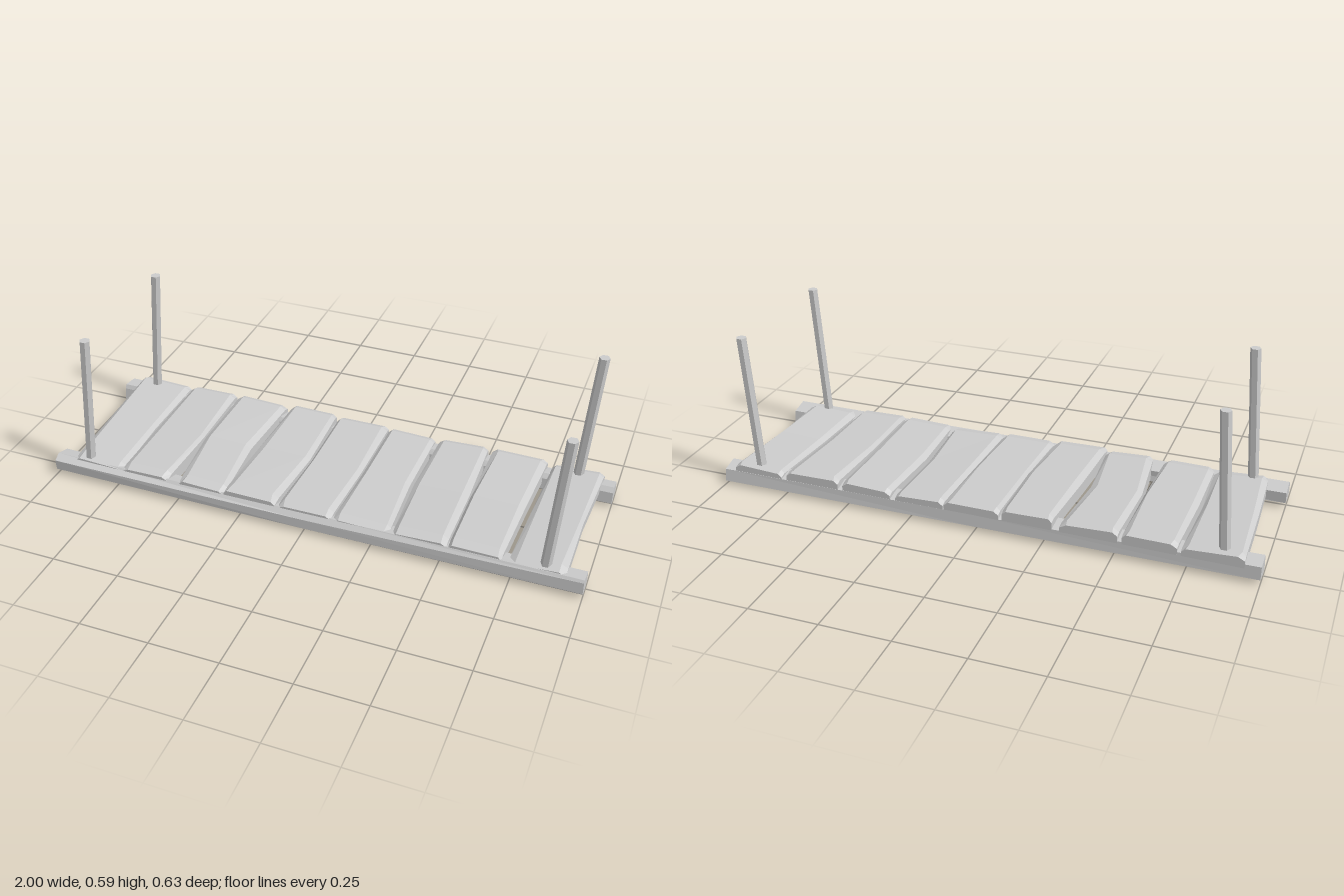
import * as THREE from 'three';

const wood = new THREE.MeshStandardMaterial({ color: 0xcccccc });
wood.name = 'plain grey wood';
wood.flatShading = true;

// Skins closed rings of [x, y, z] corners, counter-clockwise seen from the last ring's end
function loft(name, rings) {
  const pos = [];
  const tri = (a, b, c) => pos.push(...a, ...b, ...c);
  const n = rings[0].length;
  for (let r = 0; r < rings.length - 1; r++) {
    const p = rings[r], q = rings[r + 1];
    for (let i = 0; i < n; i++) {
      const j = (i + 1) % n;
      tri(p[i], p[j], q[j]);
      tri(p[i], q[j], q[i]);
    }
  }
  const first = rings[0], last = rings[rings.length - 1];
  for (let i = 1; i < n - 1; i++) {
    tri(first[0], first[i + 1], first[i]);
    tri(last[0], last[i], last[i + 1]);
  }
  const geo = new THREE.BufferGeometry();
  geo.setAttribute('position', new THREE.Float32BufferAttribute(pos, 3));
  geo.computeVertexNormals();
  const mesh = new THREE.Mesh(geo, wood);
  mesh.name = name;
  return mesh;
}

// Small seeded generator for hewn irregularity, -1 to 1
let seed = 7;
function wobble() {
  seed = (seed * 16807) % 2147483647;
  return (seed / 2147483647) * 2 - 1;
}

// Rough-hewn log along x; each section is a list of [z, y]
function rail(name, sections) {
  const rings = sections.map(([x, pts]) => pts.map(([z, y]) => [x, y, z]));
  return loft(name, rings);
}

// Bevelled board along z; left and right edges given at back, middle and front
function plank(index, left, right, top, bottom) {
  const at = (e, z) => (z < 0 ? e[1] + (e[0] - e[1]) * (-z / 0.3) : e[1] + (e[2] - e[1]) * (z / 0.29));
  const tilt = wobble() * 0.004;
  const stations = [[-0.306, 0.008], [-0.285, 0], [0, 0.003], [0.255, 0.001], [0.292, 0.009]];
  const rings = stations.map(([z, drop]) => {
    const l = at(left, z), r = at(right, z);
    const t = top - drop - z * 0.012, b = bottom - z * 0.02;
    const cl = 0.018 + wobble() * 0.008, cr = 0.018 + wobble() * 0.008;
    return [
      [l, b - tilt, z], [r, b + tilt, z],
      [r, t - 0.013 + tilt, z], [r - cr, t + tilt, z],
      [l + cl, t - tilt, z], [l, t - 0.013 - tilt, z],
    ];
  });
  return loft('plank' + (index + 1), rings);
}

// Slim six-sided post leaning towards +x
function post(name, x, z) {
  const low = 0.05, high = 0.59, lean = 0.07;
  const geo = new THREE.CylinderGeometry(0.0195, 0.0195, high - low, 6);
  geo.rotateY(Math.PI / 6);
  const p = geo.attributes.position;
  for (let i = 0; i < p.count; i++) p.setX(i, p.getX(i) + p.getY(i) * lean);
  const mesh = new THREE.Mesh(geo, wood);
  mesh.position.set(x, (low + high) / 2, z);
  mesh.name = name;
  return mesh;
}

export function createModel() {
  const model = new THREE.Group();
  model.name = 'plankFootbridge';

  // Supporting logs
  model.add(rail('frontRail', [
    [-1, [[0.314, 0.062], [0.311, 0.022], [0.285, 0.015], [0.23, 0.018], [0.228, 0.06], [0.285, 0.078]]],
    [0, [[0.308, 0.055], [0.309, 0.018], [0.285, 0.008], [0.222, 0.015], [0.23, 0.058], [0.29, 0.075]]],
    [1, [[0.302, 0.066], [0.305, 0.022], [0.284, 0.002], [0.222, 0.015], [0.229, 0.06], [0.296, 0.075]]],
  ]));
  model.add(rail('backRail', [
    [-1, [[-0.24, 0.076], [-0.232, 0.06], [-0.225, 0.014], [-0.25, 0.008], [-0.308, 0.018], [-0.305, 0.066]]],
    [0, [[-0.245, 0.074], [-0.233, 0.058], [-0.228, 0.014], [-0.25, 0.004], [-0.31, 0.016], [-0.306, 0.06]]],
    [1, [[-0.248, 0.075], [-0.234, 0.058], [-0.23, 0.014], [-0.248, 0], [-0.314, 0.014], [-0.307, 0.06]]],
  ]));

  // Deck boards: left edge, right edge, top height, underside height
  [
    [[-0.945, -0.937, -0.925], [-0.733, -0.74, -0.727], 0.09, 0.034],
    [[-0.72, -0.728, -0.727], [-0.53, -0.53, -0.54], 0.095, 0.03],
    [[-0.515, -0.522, -0.492], [-0.31, -0.332, -0.31], 0.095, 0.028],
    [[-0.283, -0.3, -0.312], [-0.1, -0.092, -0.113], 0.102, 0.038],
    [[-0.088, -0.088, -0.103], [0.117, 0.112, 0.1], 0.094, 0.032],
    [[0.121, 0.116, 0.105], [0.305, 0.3, 0.315], 0.087, 0.028],
    [[0.325, 0.314, 0.328], [0.514, 0.523, 0.523], 0.093, 0.032],
    [[0.533, 0.529, 0.53], [0.742, 0.727, 0.716], 0.096, 0.033],
    [[0.763, 0.749, 0.738], [0.955, 0.937, 0.937], 0.087, 0.036],
  ].forEach((p, i) => model.add(plank(i, ...p)));

  // Corner posts
  for (const [side, x] of [['Right', -0.855], ['Left', 0.88]]) {
    model.add(post('front' + side + 'Post', x, 0.264));
    model.add(post('back' + side + 'Post', x, -0.271));
  }
  return model;
}
